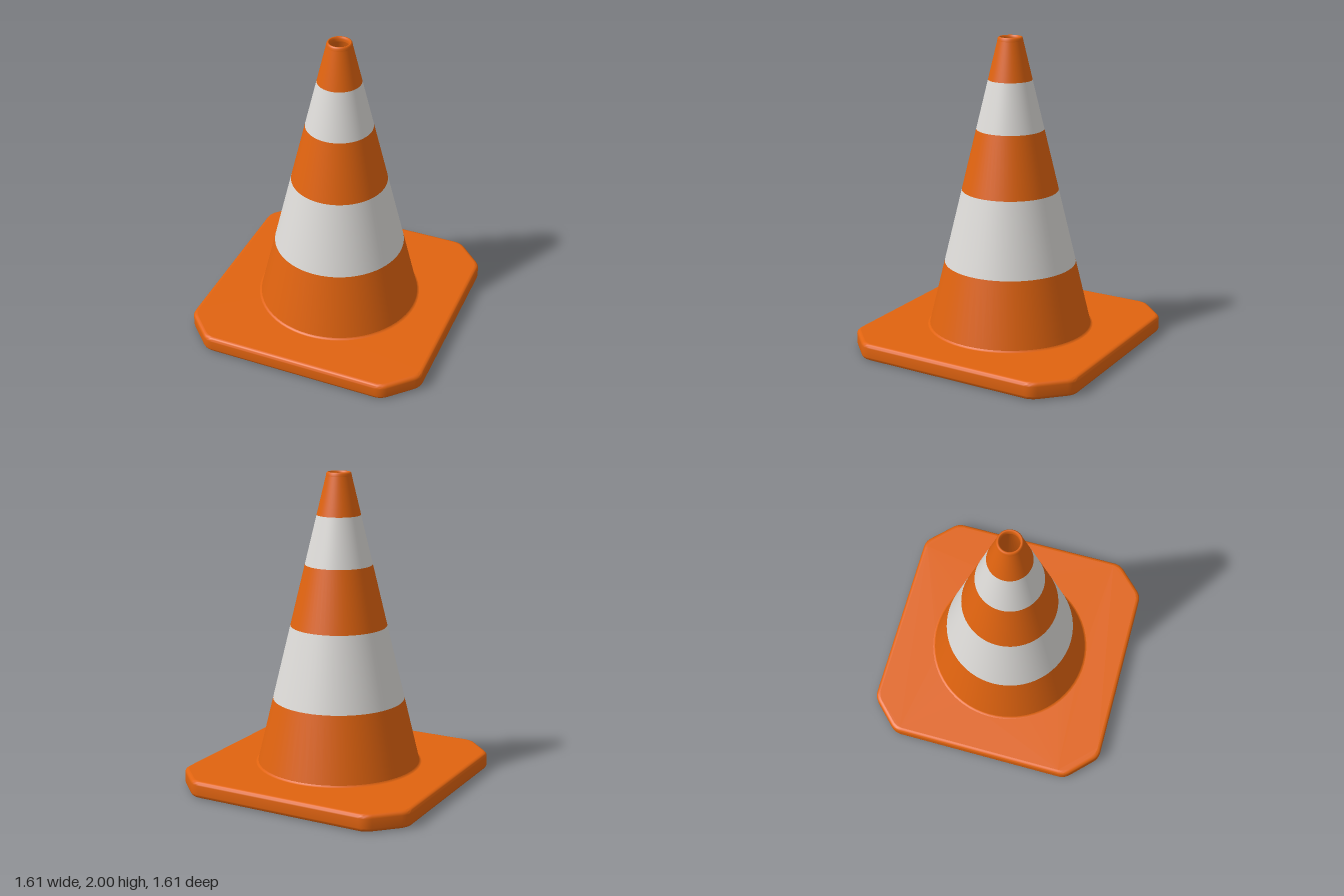
import * as THREE from 'three';
import { toCreasedNormals } from 'three/addons/utils/BufferGeometryUtils.js';

const SEGMENTS = 64;
const HALF = 0.805, CORNER = 0.61, HEIGHT = 0.11, BEVEL = 0.025;

// Square with cut, slightly rounded corners, shrunk by the given inset
function baseOutline(inset) {
  const h = HALF - inset, c = CORNER - inset * 0.414, r = 0.045;
  const corners = [[h, -c], [h, c], [c, h], [-c, h], [-h, c], [-h, -c], [-c, -h], [c, -h]]
    .map(([x, y]) => new THREE.Vector2(x, y));
  const shape = new THREE.Shape();
  corners.forEach((p, i) => {
    const toward = q => p.clone().add(q.clone().sub(p).setLength(r));
    const a = toward(corners[(i + 7) % 8]), b = toward(corners[(i + 1) % 8]);
    if (i === 0) shape.moveTo(a.x, a.y);
    else shape.lineTo(a.x, a.y);
    shape.quadraticCurveTo(p.x, p.y, b.x, b.y);
  });
  shape.closePath();
  return shape;
}

// Rounded edge of the base, lofted through stacked outlines
function baseRimGeometry() {
  const rows = [], steps = 5;
  for (let i = 0; i <= steps; i++) {
    const a = (i / steps) * Math.PI / 2;
    rows.push([BEVEL * (1 - Math.sin(a)), BEVEL * (1 - Math.cos(a))]);
  }
  for (let i = steps; i >= 0; i--) rows.push([rows[i][0], HEIGHT - rows[i][1]]);
  const positions = [], index = [];
  let n = 0;
  rows.forEach(([inset, y], row) => {
    const points = baseOutline(inset).getPoints(5);
    n = points.length;
    points.forEach(p => positions.push(p.x, y, -p.y));
    if (row === 0) return;
    for (let j = 0; j < n - 1; j++) {
      const a = (row - 1) * n + j, b = a + 1;
      index.push(a, b, b + n, a, b + n, a + n);
    }
  });
  const geometry = new THREE.BufferGeometry();
  geometry.setAttribute('position', new THREE.Float32BufferAttribute(positions, 3));
  geometry.setIndex(index);
  return toCreasedNormals(geometry, 0.7);
}

// Flat face of the base with the round opening under the cone
function baseFaceGeometry(holeRadius, y, up) {
  const shape = baseOutline(BEVEL);
  const hole = new THREE.Path();
  hole.absarc(0, 0, holeRadius, 0, Math.PI * 2, true);
  shape.holes.push(hole);
  return new THREE.ShapeGeometry(shape, SEGMENTS / 2)
    .rotateX(up ? -Math.PI / 2 : Math.PI / 2).translate(0, y, 0);
}

export function createModel() {
  const orange = new THREE.MeshStandardMaterial({ color: 0xe0630f });
  orange.name = 'orange';
  const white = new THREE.MeshStandardMaterial({ color: 0xdddbd8 });
  white.name = 'white';

  const model = new THREE.Group();
  model.name = 'trafficCone';
  const add = (parent, name, geometry, material) => {
    const mesh = new THREE.Mesh(geometry, material);
    mesh.name = name;
    parent.add(mesh);
  };
  const lathe = points =>
    new THREE.LatheGeometry(points.map(([r, y]) => new THREE.Vector2(r, y)), SEGMENTS);

  // Base plate
  const base = new THREE.Group();
  base.name = 'base';
  model.add(base);
  add(base, 'baseRim', baseRimGeometry(), orange);
  add(base, 'baseTop', baseFaceGeometry(0.515, HEIGHT, true), orange);
  add(base, 'baseUnderside', baseFaceGeometry(0.53, 0, false), orange);

  // Hollow cone, split into coloured bands
  const cone = new THREE.Group();
  cone.name = 'cone';
  model.add(cone);
  const radius = y => 0.53 - (y - HEIGHT) * 0.2406;
  const levels = [0.12, 0.54, 1.02, 1.415, 1.73, 1.975];
  for (let i = 0; i < levels.length - 1; i++) {
    const [a, b] = [levels[i], levels[i + 1]];
    add(cone, i % 2 ? 'reflectiveBand' : 'coneBand',
      lathe([[radius(a), a], [radius(b), b]]), i % 2 ? white : orange);
  }
  add(cone, 'coneFoot', lathe([[0.542, HEIGHT], [0.533, 0.112], [radius(0.12), 0.12]]), orange);
  add(cone, 'coneLip', lathe([[radius(1.975), 1.975], [0.079, 1.99], [0.074, 1.998],
    [0.069, 2], [0.064, 1.997], [0.06, 1.985], [0.06, 1.97]]), orange);
  add(cone, 'coneInside', lathe([[0.06, 1.97], [0.53, 0]]), orange);

  return model;
}
